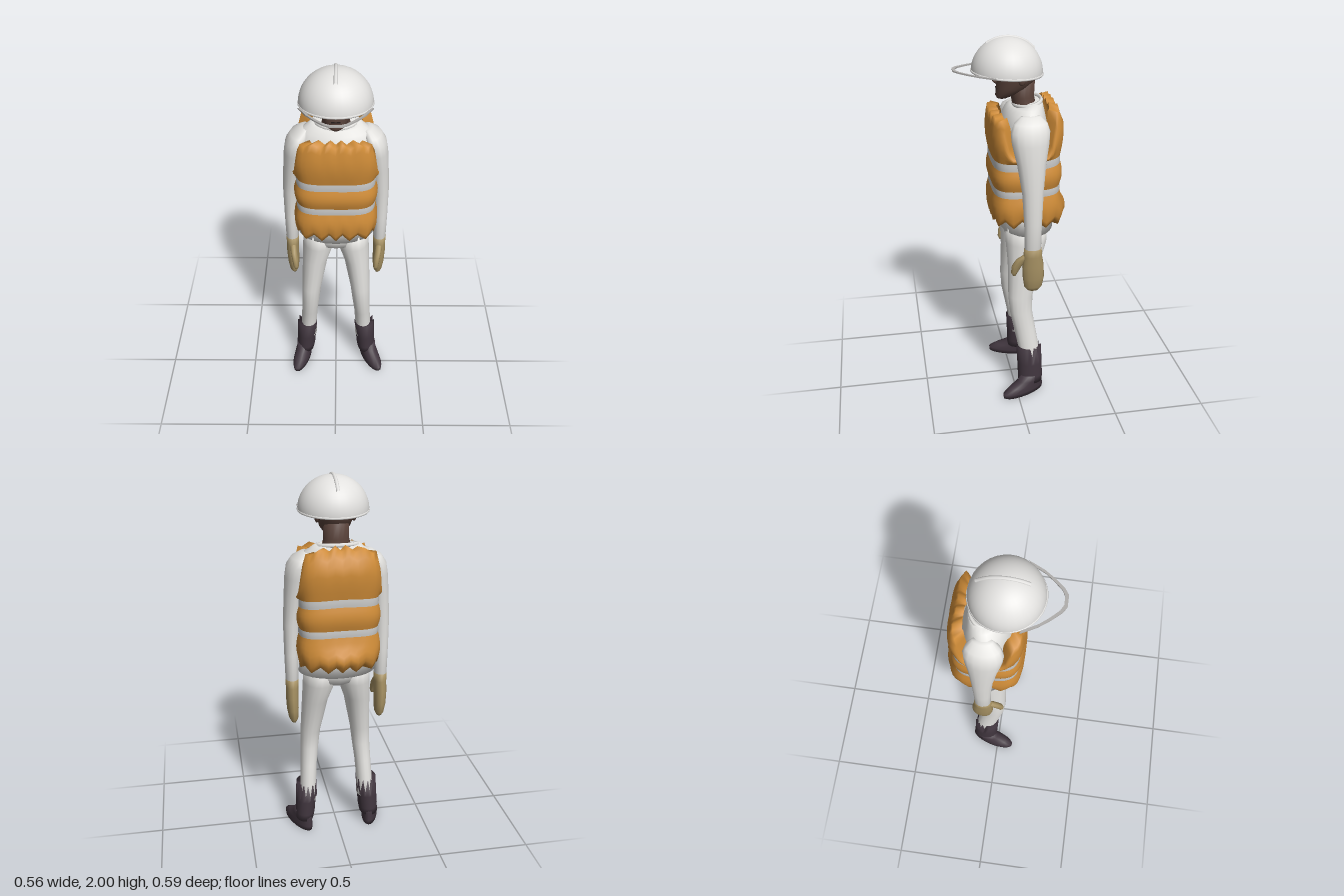
import * as THREE from 'three';

const mat = (name, color, side = THREE.FrontSide) => {
  const m = new THREE.MeshStandardMaterial({ color, side });
  m.name = name;
  return m;
};

// Surface of stacked closed loops (bottom to top); fn(row, angle) gives [x, y, z]
function surface(rows, n, fn, caps = true) {
  const pos = [], idx = [];
  for (let j = 0; j < rows; j++)
    for (let i = 0; i < n; i++) pos.push(...fn(j, (i / n) * Math.PI * 2));
  const centre = (j) => {
    const c = [0, 0, 0];
    for (let i = 0; i < n; i++) for (let k = 0; k < 3; k++) c[k] += pos[(j * n + i) * 3 + k] / n;
    pos.push(...c);
    return pos.length / 3 - 1;
  };
  for (let j = 0; j < rows - 1; j++)
    for (let i = 0; i < n; i++) {
      const a = j * n + i, b = j * n + ((i + 1) % n);
      idx.push(a, a + n, b, b, a + n, b + n);
    }
  if (caps) {
    const lo = centre(0), hi = centre(rows - 1), t = (rows - 1) * n;
    for (let i = 0; i < n; i++) {
      const k = (i + 1) % n;
      idx.push(lo, i, k, hi, t + k, t + i);
    }
  }
  const g = new THREE.BufferGeometry();
  g.setAttribute('position', new THREE.Float32BufferAttribute(pos, 3));
  g.setIndex(idx);
  g.computeVertexNormals();
  return g;
}

// Rings are [x, y, z, radiusX, radiusZ]; edge(angle) shifts the height of the last ring
function loft(rings, { n = 16, edge = () => 0, side = 1, caps = true } = {}) {
  return surface(rings.length, n, (j, a) => {
    const [x, y, z, rx, rz] = rings[j];
    return [x * side + rx * Math.cos(a), y + (j === rings.length - 1 ? edge(a) : 0), z + rz * Math.sin(a)];
  }, caps);
}

export function createModel() {
  const white = mat('whiteCloth', 0xe4e3e0);
  const shell = mat('helmetWhite', 0xe2e1df, THREE.DoubleSide);
  const grey = mat('visorGrey', 0xb2b0ae);
  const orange = mat('vestOrange', 0xcf8c38, THREE.DoubleSide);
  const silver = mat('stripeSilver', 0xc9c9c8, THREE.DoubleSide);
  const tan = mat('gloveTan', 0xa69163);
  const dark = mat('bootDark', 0x41363f);
  const skin = mat('skin', 0x5a433b);
  const black = mat('featureDark', 0x241b1a);

  const model = new THREE.Group();
  const add = (name, geo, material, parent = model) => {
    const m = new THREE.Mesh(geo, material);
    m.name = name;
    parent.add(m);
    return m;
  };

  // Shirt with an open neckline that is lower at the front
  add('shirt', loft([
    [0, 0.98, -0.08, 0.207, 0.145], [0, 1.06, -0.07, 0.195, 0.14], [0, 1.3, -0.065, 0.19, 0.14],
    [0, 1.5, -0.065, 0.215, 0.13], [0, 1.57, -0.065, 0.215, 0.115], [0, 1.62, -0.07, 0.18, 0.1],
    [0, 1.645, -0.08, 0.14, 0.085], [0, 1.67, -0.085, 0.115, 0.075],
  ], { n: 24, edge: (a) => -0.03 * Math.max(0, Math.sin(a)) }), white);
  const collar = add('collar', new THREE.TorusGeometry(0.1, 0.012, 6, 24), white);
  collar.rotation.x = Math.PI / 2 + 0.18;
  collar.scale.set(1.05, 0.72, 1);
  collar.position.set(0, 1.66, -0.085);

  // Trousers
  add('hips', loft([
    [0, 0.89, -0.07, 0.04, 0.05], [0, 0.925, -0.07, 0.14, 0.105],
    [0, 0.97, -0.07, 0.183, 0.12], [0, 1.05, -0.07, 0.185, 0.125],
  ], { n: 20 }), white);

  for (const s of [1, -1]) {
    const limb = new THREE.Group();
    limb.name = s > 0 ? 'leftLimbs' : 'rightLimbs';
    model.add(limb);
    add('trouserLeg', loft([
      [0.168, 0.18, -0.078, 0.05, 0.06], [0.162, 0.28, -0.072, 0.045, 0.058], [0.155, 0.4, -0.05, 0.046, 0.06],
      [0.147, 0.5, -0.032, 0.05, 0.062], [0.14, 0.6, -0.03, 0.055, 0.068], [0.116, 0.8, -0.053, 0.071, 0.09],
      [0.095, 0.91, -0.068, 0.088, 0.112], [0.09, 1.0, -0.07, 0.088, 0.115],
    ], { side: s }), white, limb);

    add('sleeve', loft([
      [0.242, 0.92, -0.075, 0.034, 0.044], [0.242, 1.08, -0.075, 0.038, 0.047], [0.237, 1.25, -0.073, 0.045, 0.056],
      [0.222, 1.4, -0.068, 0.053, 0.075], [0.208, 1.5, -0.065, 0.06, 0.095], [0.198, 1.56, -0.065, 0.06, 0.1],
      [0.182, 1.6, -0.068, 0.05, 0.085], [0.16, 1.628, -0.072, 0.025, 0.05],
    ], { side: s }), white, limb);

    // Mitten-shaped work glove
    add('glove', loft([
      [0.237, 0.682, -0.08, 0.014, 0.028], [0.238, 0.705, -0.08, 0.025, 0.048], [0.241, 0.76, -0.08, 0.032, 0.057],
      [0.243, 0.83, -0.077, 0.034, 0.058], [0.242, 0.89, -0.075, 0.034, 0.05], [0.242, 0.935, -0.075, 0.036, 0.047],
    ], { n: 12, side: s }), tan, limb);
    add('gloveThumb', loft([
      [0.222, 0.77, 0.02, 0.008, 0.008], [0.223, 0.79, 0.02, 0.015, 0.018], [0.227, 0.83, 0.007, 0.018, 0.027],
      [0.235, 0.87, -0.018, 0.018, 0.03], [0.24, 0.9, -0.05, 0.015, 0.02],
    ], { n: 10, side: s }), tan, limb);

    // Boot shaft, torn into points at the back
    const n = 24;
    add('bootShaft', loft([
      [0.187, 0.06, -0.08, 0.05, 0.068], [0.183, 0.1, -0.08, 0.054, 0.07],
      [0.178, 0.18, -0.077, 0.056, 0.07], [0.172, 0.285, -0.073, 0.058, 0.071],
    ], {
      n, side: s,
      edge: (a) => (Math.sin(a) < -0.2 && Math.round((a / (Math.PI * 2)) * n) % 2 ? -0.085 : 0),
    }), dark, limb);
    const foot = add('bootFoot', loft([
      [0, 0, 0.048, 0.045, 0.128], [0, 0.025, 0.048, 0.047, 0.13], [0, 0.05, 0.03, 0.045, 0.105],
      [0, 0.075, 0.0, 0.044, 0.075], [0, 0.11, -0.003, 0.045, 0.062],
    ], { n: 20 }), dark, limb);
    foot.position.set(s * 0.195, 0, -0.078);
    foot.rotation.y = s > 0 ? 0.4 : -0.25;
  }

  // Puffy life vest: a rounded-box tube cut by two reflective stripes
  const vest = new THREE.Group();
  vest.name = 'vest';
  model.add(vest);
  const N = 64;
  const smooth = THREE.MathUtils.smoothstep;
  const zig = (a, k) => Math.abs(((a / (Math.PI * 2)) * k + 0.5) % 1 - 0.5) * 2;
  const back = (a) => Math.max(0, -Math.sin(a));
  const vestPoint = (a, y, puff, shrink) => {
    const c = Math.cos(a), s = Math.sin(a);
    const r = Math.pow(Math.abs(c / 0.208) ** 4 + Math.abs(s / 0.176) ** 4, -0.25) + puff;
    const bulge = back(a) ** 3 * 0.04 * Math.exp(-(((y - 1.09) / 0.05) ** 2));
    const lean = back(a) * 0.03 * smooth(y, 1.57, 1.66);
    return [c * r * shrink, y, -0.066 + s * (r + bulge - lean) * shrink];
  };
  const vestBand = (name, lo, hi, puff, material, lipLo, lipHi) => {
    const rows = 8;
    add(name, surface(rows + 1, N, (j, a) => {
      const t = Math.min(1, Math.max(0, (j - 1) / (rows - 2)));
      const lip = (j === 0 && lipLo) || (j === rows && lipHi);
      const y = lo(a) + (hi(a) - lo(a)) * t;
      return vestPoint(a, y, puff * Math.sin(Math.PI * t), lip ? 0.74 : 1);
    }, false), material, vest);
  };
  const hem = (a) => 1.035 - 0.015 * back(a) + 0.04 * zig(a, 16);
  const neck = (a) => {
    const top = 1.605 + 0.05 * back(a) + 0.025 * zig(a, 16);
    return THREE.MathUtils.lerp(top, 1.43, smooth(Math.abs(Math.cos(a)), 0.78, 0.93));
  };
  const level = (y, rise = 0) => (a) => y + rise * back(a);
  const s1 = level(1.205, 0.01), s2 = level(1.242, 0.01), s3 = level(1.352, 0.025), s4 = level(1.393, 0.025);
  vestBand('vestLower', hem, s1, 0.014, orange, true, false);
  vestBand('lowerStripe', s1, s2, 0.001, silver, false, false);
  vestBand('vestMiddle', s2, s3, 0.012, orange, false, false);
  vestBand('upperStripe', s3, s4, 0.001, silver, false, false);
  vestBand('vestUpper', s4, neck, 0.016, orange, false, true);

  // Head and face
  const head = new THREE.Group();
  head.name = 'head';
  model.add(head);
  add('neck', loft([
    [0, 1.58, -0.07, 0.085, 0.065], [0, 1.64, -0.07, 0.078, 0.06],
    [0, 1.69, -0.06, 0.066, 0.06], [0, 1.78, -0.055, 0.068, 0.07],
  ]), skin, head);
  add('skull', loft([
    [0, 1.684, 0.045, 0.025, 0.026], [0, 1.7, 0.032, 0.05, 0.048], [0, 1.74, -0.01, 0.078, 0.086],
    [0, 1.79, -0.03, 0.093, 0.108], [0, 1.84, -0.035, 0.098, 0.111], [0, 1.9, -0.03, 0.093, 0.1],
    [0, 1.95, -0.02, 0.05, 0.06],
  ], { n: 20 }), skin, head);
  add('nose', loft([
    [0, 1.762, 0.074, 0.014, 0.012], [0, 1.773, 0.076, 0.018, 0.02], [0, 1.8, 0.074, 0.01, 0.014],
    [0, 1.835, 0.07, 0.007, 0.008],
  ], { n: 8 }), skin, head);
  add('mouth', new THREE.BoxGeometry(0.045, 0.005, 0.008), black, head).position.set(0, 1.735, 0.073);
  for (const s of [1, -1]) {
    const face = (name, w, h, y) => {
      const m = add(name, new THREE.BoxGeometry(w, h, 0.008), black, head);
      m.position.set(s * 0.042, y, 0.066);
      m.rotation.y = s * 0.4;
    };
    face('eye', 0.028, 0.01, 1.815);
    face('eyebrow', 0.036, 0.007, 1.837);
    const ear = add('ear', new THREE.SphereGeometry(1, 10, 8), skin, head);
    ear.scale.set(0.012, 0.03, 0.02);
    ear.position.set(s * 0.095, 1.795, -0.04);
  }

  // Hard hat: open dome, rim, crest ridge and a looped visor frame
  const helmet = new THREE.Group();
  helmet.name = 'helmet';
  helmet.position.set(0, 1.818, 0.02);
  helmet.rotation.x = -0.06;
  model.add(helmet);
  const dome = add('helmetDome', new THREE.SphereGeometry(1, 32, 14, 0, Math.PI * 2, 0, Math.PI / 2), shell, helmet);
  dome.scale.set(0.183, 0.174, 0.181);
  const rim = add('helmetRim', new THREE.TorusGeometry(0.18, 0.006, 6, 32), shell, helmet);
  rim.rotation.x = Math.PI / 2;
  const ridge = [-0.13, -0.08, -0.03, 0.02, 0.07, 0.11].map(
    (z) => new THREE.Vector3(0, 0.172 * Math.sqrt(1 - (z / 0.181) ** 2), z));
  add('helmetRidge', new THREE.TubeGeometry(new THREE.CatmullRomCurve3(ridge), 20, 0.01, 8), shell, helmet);

  const outer = [[0.18, 0.08], [0.142, 0.155], [0.1, 0.212], [0.06, 0.256], [0.03, 0.276]];
  const inner = [[0.165, 0.085], [0.125, 0.16], [0.088, 0.206], [0.05, 0.245], [0.022, 0.26]];
  const both = (pts) => [...pts, ...pts.map(([x, z]) => [-x, z]).reverse()];
  const outline = [...both(outer), ...both(inner).reverse()].map(([x, z]) => new THREE.Vector2(x, z));
  const visor = add('visorFrame',
    new THREE.ExtrudeGeometry(new THREE.Shape(outline), { depth: 0.007, bevelEnabled: false }), grey, helmet);
  visor.rotation.x = Math.PI / 2;
  visor.position.y = 0.006;

  return model;
}
